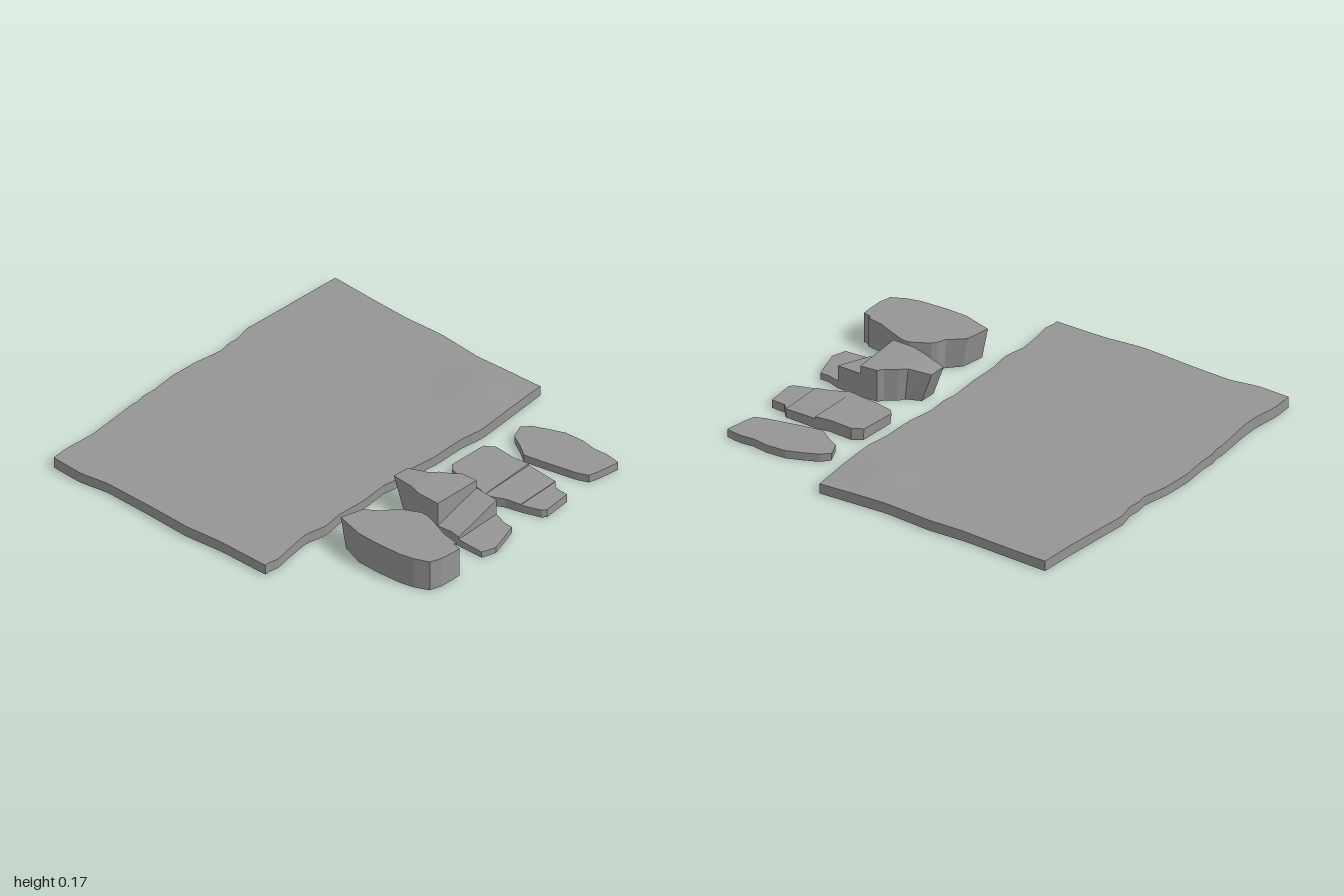
import * as THREE from 'three';

const stone = new THREE.MeshStandardMaterial({ color: 0x959595, side: THREE.DoubleSide });
stone.name = 'grey stone';

// Piecewise linear lookup through [position, value] pairs
function along(pairs, t) {
  for (let i = 1; i < pairs.length; i++) {
    const [a, va] = pairs[i - 1], [b, vb] = pairs[i];
    if (t <= b) return va + (vb - va) * Math.max(0, (t - a) / (b - a));
  }
  return pairs[pairs.length - 1][1];
}

function meshFrom(positions, index, name) {
  const g = new THREE.BufferGeometry();
  g.setAttribute('position', new THREE.Float32BufferAttribute(positions, 3));
  if (index) g.setIndex(index);
  g.computeVertexNormals();
  const mesh = new THREE.Mesh(g, stone);
  mesh.name = name;
  return mesh;
}

// Keep the part of an outline on one side of a z line
function clip(points, z0, sign) {
  const out = [];
  points.forEach((p, i) => {
    const q = points[(i + 1) % points.length];
    const dp = (p[1] - z0) * sign, dq = (q[1] - z0) * sign;
    if (dp >= 0) out.push(p);
    if (dp * dq < 0) {
      const t = dp / (dp - dq);
      out.push([p[0] + (q[0] - p[0]) * t, z0]);
    }
  });
  return out;
}

// Faceted block: outline runs counter-clockwise seen from above
function block(outline, height, name, undercut) {
  const top = outline.map(([x, z]) => [x, height(x, z), z]);
  const base = outline.map(([x, z]) => [x, 0, z < 0.55 ? 0.55 + (z - 0.55) * undercut : z]);
  const flat = outline.map(([x, z]) => new THREE.Vector2(x, -z));
  const pos = [];
  const tri = (...corners) => corners.forEach((c) => pos.push(...c));
  for (const [a, b, c] of THREE.ShapeUtils.triangulateShape(flat, [])) {
    tri(top[a], top[b], top[c]);
    tri(base[c], base[b], base[a]);
  }
  top.forEach((_, i) => {
    const j = (i + 1) % top.length;
    tri(base[i], base[j], top[j]);
    tri(base[i], top[j], top[i]);
  });
  return meshFrom(pos, null, name);
}

// Stepped rock: one block per z band, each with its own top
function steppedRock(name, outline, bands, undercut) {
  const group = new THREE.Group();
  group.name = name;
  bands.forEach(([z0, z1, height], i) => {
    const part = clip(clip(outline, z0, 1), z1, -1);
    group.add(block(part, height, `${name}Ledge${i + 1}`, undercut));
  });
  return group;
}

// Large slab, open underneath, with ragged edges and a gently uneven top
function makeSlab() {
  const back = [[-0.96, -0.975], [-0.85, -0.98], [-0.7, -0.962], [-0.6, -0.965], [-0.4, -0.985], [-0.36, -0.98],
    [-0.32, -0.992], [-0.24, -0.988], [-0.1, -1], [0.05, -0.99], [0.2, -0.96], [0.26, -0.972], [0.31, -0.962],
    [0.4, -0.985], [0.6, -0.967], [0.8, -0.95], [0.96, -0.94]];
  const front = [[-0.96, 0.312], [-0.93, 0.31], [-0.88, 0.322], [-0.8, 0.308], [-0.66, 0.292], [-0.55, 0.318],
    [-0.43, 0.303], [-0.28, 0.312], [-0.12, 0.302], [-0.05, 0.317], [0.05, 0.308], [0.2, 0.332], [0.38, 0.335],
    [0.5, 0.355], [0.7, 0.345], [0.94, 0.33]];
  const left = [[-0.98, -0.955], [-0.8, -0.967], [-0.65, -0.945], [-0.4, -0.955], [-0.15, -0.97], [0.05, -0.955], [0.31, -0.96]];
  const right = [[-0.94, 0.965], [-0.5, 0.94], [-0.3, 0.945], [-0.05, 0.922], [0.33, 0.935]];
  const swell = [[-0.96, 0.054], [-0.8, 0.052], [-0.63, 0.057], [-0.25, 0.047], [0.1, 0.046], [0.3, 0.051],
    [0.45, 0.05], [0.72, 0.053], [0.96, 0.051]];
  const height = (x, z) => along(swell, x) + 0.002 * Math.sin(7 * z - 3 * x)
    + 0.015 * Math.exp(-((x - 0.72) ** 2 / 0.03 + (z - 0.12) ** 2 / 0.025));
  const nx = 72, nz = 40, grid = [];
  for (let j = 0; j <= nz; j++) {
    for (let i = 0; i <= nx; i++) {
      const u = i / nx, v = j / nz;
      const zMid = -0.97 + 1.29 * v;
      const x = THREE.MathUtils.lerp(along(left, zMid), along(right, zMid), u);
      const z = THREE.MathUtils.lerp(along(back, x), along(front, x), v);
      grid.push([x, height(x, z), z]);
    }
  }
  const id = (i, j) => j * (nx + 1) + i;
  const topIndex = [], rim = [];
  for (let j = 0; j < nz; j++) {
    for (let i = 0; i < nx; i++) {
      const a = id(i, j), b = id(i, j + 1), c = id(i + 1, j + 1), d = id(i + 1, j);
      topIndex.push(a, b, c, a, c, d);
    }
  }
  for (let i = 0; i < nx; i++) rim.push(grid[id(i, nz)]);
  for (let j = nz; j > 0; j--) rim.push(grid[id(nx, j)]);
  for (let i = nx; i > 0; i--) rim.push(grid[id(i, 0)]);
  for (let j = 0; j < nz; j++) rim.push(grid[id(0, j)]);
  const sides = [];
  rim.forEach((p, k) => {
    const q = rim[(k + 1) % rim.length];
    const p0 = [p[0], 0, p[2]], q0 = [q[0], 0, q[2]];
    sides.push(...p0, ...q0, ...q, ...p0, ...q, ...p);
  });
  const group = new THREE.Group();
  group.name = 'slab';
  group.add(meshFrom(grid.flat(), topIndex, 'slabTop'), meshFrom(sides, null, 'slabEdge'));
  return group;
}

export function createModel() {
  const model = new THREE.Group();
  model.name = 'stoneSlabAndRocks';
  model.add(makeSlab());

  // Tall rock
  model.add(block([[-0.56, 0.96], [-0.5, 0.98], [-0.42, 0.985], [-0.38, 0.985], [-0.37, 0.94], [-0.355, 0.945],
    [-0.34, 0.86], [-0.31, 0.79], [-0.275, 0.7], [-0.275, 0.66], [-0.32, 0.57], [-0.34, 0.55], [-0.38, 0.53],
    [-0.44, 0.45], [-0.56, 0.42], [-0.605, 0.57], [-0.61, 0.68], [-0.605, 0.82], [-0.59, 0.89]],
  (x) => 0.161 - 0.05 * (x + 0.61), 'tallRock', 0.75));

  // Rock climbing in ledges towards the slab
  model.add(steppedRock('stairRock', [[-0.21, 0.97], [-0.14, 0.995], [-0.05, 0.97], [0.03, 0.945], [0.03, 0.9],
    [0.055, 0.83], [0.065, 0.69], [0.06, 0.61], [0.035, 0.59], [0, 0.53], [-0.03, 0.5], [-0.06, 0.39],
    [-0.15, 0.385], [-0.18, 0.52], [-0.2, 0.58], [-0.205, 0.7], [-0.2, 0.78], [-0.21, 0.84]], [
    [0.3, 0.52, (x, z) => 0.168 - 0.12 * (0.52 - z) - 0.05 * (x + 0.07)],
    [0.52, 0.7, (x) => 0.168 - 0.05 * (x + 0.07)],
    [0.7, 0.83, (x) => 0.085 + 0.26 * (x + 0.07)],
    [0.83, 1.1, (x, z) => 0.037 - 0.04 * (z - 0.83)],
  ], 0.66));

  // Low stepped rock
  model.add(steppedRock('lowSteppedRock', [[0.21, 0.97], [0.23, 0.985], [0.38, 0.975], [0.385, 0.9], [0.42, 0.87],
    [0.43, 0.7], [0.42, 0.62], [0.43, 0.5], [0.4, 0.45], [0.2, 0.435], [0.17, 0.46], [0.15, 0.55],
    [0.14, 0.64], [0.125, 0.72], [0.16, 0.79], [0.18, 0.88]], [
    [0.3, 0.7, (x) => 0.056 + 0.03 * (x - 0.28)],
    [0.7, 0.87, (x, z) => 0.05 - 0.03 * (z - 0.7)],
    [0.87, 1.1, () => 0.041],
  ], 0.95));

  // Small flat rock
  model.add(block([[0.56, 0.95], [0.61, 0.965], [0.725, 0.985], [0.735, 0.94], [0.74, 0.9], [0.735, 0.83],
    [0.75, 0.75], [0.745, 0.65], [0.715, 0.57], [0.685, 0.5], [0.645, 0.46], [0.57, 0.49], [0.53, 0.56],
    [0.487, 0.62], [0.51, 0.75], [0.54, 0.9]], () => 0.04, 'smallFlatRock', 0.95));

  return model;
}
